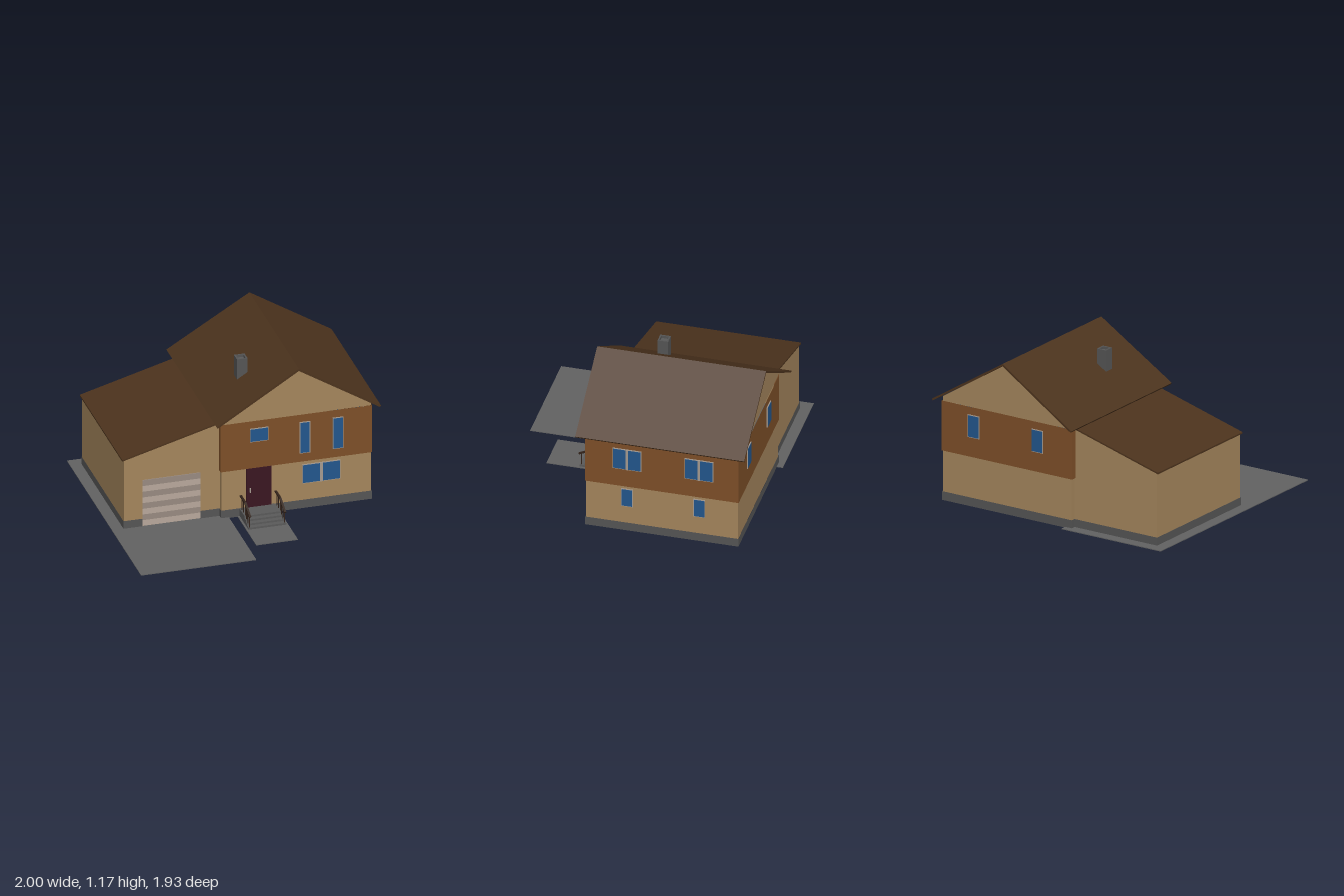
import * as THREE from 'three';

const mat = (color, side = THREE.FrontSide) =>
  new THREE.MeshStandardMaterial({ color, side });
const both = THREE.DoubleSide;
const TAN = mat(0xa4855c, both), BROWN = mat(0x7d4f28, both), STONE = mat(0x555555, both);
const ROOF = mat(0x4c331d), PAVING = mat(0x626262), STEP = mat(0x5a5a5a);
const DOOR = mat(0x3a1620), FRAME = mat(0xa59a90), GLASS = mat(0x22568c), RAIL = mat(0x33231a);
const PANEL_LIGHT = mat(0xb8a89c), PANEL_DARK = mat(0x988a80);

export function createModel() {
  const house = new THREE.Group();
  house.name = 'house';

  const add = (name, geometry, material, parent = house) => {
    const mesh = new THREE.Mesh(geometry, material);
    mesh.name = name;
    parent.add(mesh);
    return mesh;
  };
  // Box given by its extents on each axis
  const box = (name, [x0, x1], [y0, y1], [z0, z1], material, parent) => {
    const mesh = add(name, new THREE.BoxGeometry(x1 - x0, y1 - y0, z1 - z0), material, parent);
    mesh.position.set((x0 + x1) / 2, (y0 + y1) / 2, (z0 + z1) / 2);
    return mesh;
  };
  // Upright wall following a path of [x, z] points
  const wall = (name, path, y0, y1, material) => {
    const pos = [];
    for (let i = 0; i < path.length - 1; i++) {
      const [ax, az] = path[i], [bx, bz] = path[i + 1];
      pos.push(ax, y0, az, bx, y0, bz, bx, y1, bz, ax, y0, az, bx, y1, bz, ax, y1, az);
    }
    const g = new THREE.BufferGeometry();
    g.setAttribute('position', new THREE.Float32BufferAttribute(pos, 3));
    g.computeVertexNormals();
    return add(name, g, material);
  };
  const shape = (pts) => new THREE.Shape(pts.map(([x, y]) => new THREE.Vector2(x, y)));
  // Pair of equal end walls facing front and back
  const endWalls = (name, pts, zFront, zBack, material) => {
    for (const [side, z] of [['Front', zFront], ['Back', zBack]])
      add(name + side, new THREE.ShapeGeometry(shape(pts)), material).position.z = z;
  };
  const extrude = (pts, z0, z1) =>
    new THREE.ExtrudeGeometry(shape(pts), { depth: z1 - z0, bevelEnabled: false }).translate(0, 0, z0);

  // Paving
  box('driveway', [-1, -0.13], [0, 0.006], [-0.93, 0.963], PAVING);
  box('path', [-0.065, 0.25], [0, 0.006], [0.26, 0.74], PAVING);

  // Stone plinth around house and garage, open at the garage door
  wall('plinth', [[-0.335, 0.224], [-0.189, 0.224], [-0.189, 0.264], [0.949, 0.264], [0.949, -0.884],
    [-0.189, -0.884], [-0.189, -0.849], [-0.914, -0.849], [-0.914, 0.224], [-0.77, 0.224]], 0, 0.067, STONE);

  // Main house walls: the garage side is open between the two volumes
  wall('lowerWalls', [[-0.185, 0.22], [-0.185, 0.26], [0.945, 0.26], [0.945, -0.88],
    [-0.185, -0.88], [-0.185, -0.845]], 0.06, 0.382, TAN);
  wall('upperWalls', [[-0.193, 0.22], [-0.193, 0.266], [0.951, 0.266], [0.951, -0.886],
    [-0.193, -0.886], [-0.193, -0.845]], 0.38, 0.762, BROWN);
  endWalls('gable', [[-0.185, 0.76], [0.945, 0.76], [0.945, 0.795], [0.38, 1.152], [-0.185, 0.795]],
    0.26, -0.88, TAN);

  // Garage walls
  endWalls('garageWall', [[-0.91, 0], [-0.185, 0], [-0.185, 0.758], [-0.91, 0.56]], 0.22, -0.845, TAN);
  wall('garageSideWall', [[-0.91, -0.845], [-0.91, 0.22]], 0, 0.56, TAN);

  // Main roof, its rear edge running further back at the garage-side eave
  const roofGeo = extrude([[-0.24, 0.782], [-0.232, 0.77], [0.38, 1.152], [0.992, 0.77],
    [1, 0.782], [0.38, 1.17]], -0.94, 0.326);
  const p = roofGeo.attributes.position;
  for (let i = 0; i < p.count; i++)
    if (p.getZ(i) < 0 && p.getX(i) < 0) p.setZ(i, -0.965);
  roofGeo.computeVertexNormals();
  add('mainRoof', roofGeo, ROOF);

  // Lean-to garage roof
  add('garageRoof', extrude([[-0.925, 0.556], [-0.19, 0.758], [-0.19, 0.77], [-0.925, 0.568]],
    -0.855, 0.23), ROOF);

  // Hollow chimney
  const stack = shape([[-0.04, -0.04], [0.04, -0.04], [0.04, 0.04], [-0.04, 0.04]]);
  stack.holes.push(shape([[-0.028, -0.028], [-0.028, 0.028], [0.028, 0.028], [0.028, -0.028]]));
  const chimney = add('chimney',
    new THREE.ExtrudeGeometry(stack, { depth: 0.18, bevelEnabled: false }).rotateX(-Math.PI / 2), STONE);
  chimney.position.set(0.065, 0.93, -0.093);
  box('chimneyFlue', [0.035, 0.095], [0.93, 1.09], [-0.123, -0.063], STEP);

  // Windows: centre along the wall, height range, width, optional mullion
  const addWindow = (name, x, z, turn, w, [y0, y1], mullion) => {
    const g = new THREE.Group();
    g.name = name;
    g.position.set(x, (y0 + y1) / 2, z);
    g.rotation.y = turn;
    const h = y1 - y0;
    add('windowFrame', new THREE.BoxGeometry(w, h, 0.014), FRAME, g);
    add('windowGlass', new THREE.BoxGeometry(w - 0.01, h - 0.01, 0.018), GLASS, g);
    if (mullion) add('windowMullion', new THREE.BoxGeometry(0.02, h, 0.022), FRAME, g);
    house.add(g);
  };
  addWindow('smallFrontWindow', 0.097, 0.266, 0, 0.14, [0.595, 0.703]);
  for (const x of [0.442, 0.692]) addWindow('tallFrontWindow', x, 0.266, 0, 0.08, [0.45, 0.703]);
  addWindow('wideFrontWindow', 0.567, 0.26, 0, 0.288, [0.2, 0.353], true);
  for (const z of [-0.05, -0.59]) {
    addWindow('upperSideWindow', 0.951, z, Math.PI / 2, 0.218, [0.53, 0.703], true);
    addWindow('lowerSideWindow', 0.945, z, Math.PI / 2, 0.088, [0.208, 0.358]);
  }
  for (const x of [0.67, 0.11]) addWindow('backWindow', x, -0.886, Math.PI, 0.1, [0.53, 0.703]);

  // Front door with handle
  box('frontDoor', [0, 0.19], [0.065, 0.38], [0.25, 0.268], DOOR);
  box('doorHandle', [0.026, 0.034], [0.188, 0.222], [0.244, 0.278], FRAME);

  // Garage door of alternating panels
  const panels = 8, panelH = 0.37 / panels;
  for (let i = 0; i < panels; i++)
    box('garageDoorPanel', [-0.77, -0.335], [0.01 + i * panelH, 0.01 + (i + 1) * panelH],
      [0.21, 0.227], i % 2 ? PANEL_DARK : PANEL_LIGHT);

  // Entrance steps
  for (let i = 0; i < 4; i++)
    box('step', [-0.05, 0.235], [0.006 + (3 - i) * 0.015, 0.021 + (3 - i) * 0.015],
      [0.26, 0.39 + i * 0.035], STEP);

  // Stair railings: level run, sloped run and balusters
  for (const x of [-0.04, 0.224]) {
    const rail = new THREE.Group();
    rail.name = 'railing';
    rail.position.x = x;
    house.add(rail);
    const w = [-0.008, 0.008];
    box('levelHandrail', w, [0.161, 0.171], [0.262, 0.38], RAIL, rail);
    const slope = add('slopedHandrail', new THREE.BoxGeometry(0.016, 0.01, 0.138), RAIL, rail);
    slope.position.set(0, 0.139, 0.441);
    slope.rotation.x = Math.atan2(0.056, 0.124);
    for (const z of [0.29, 0.335, 0.38, 0.415, 0.45, 0.485]) {
      const drop = Math.max(0, z - 0.38);
      box('baluster', [-0.003, 0.003], [0.066 - drop * 0.43, 0.166 - drop * 0.45],
        [z - 0.003, z + 0.003], RAIL, rail);
    }
  }
  return house;
}
